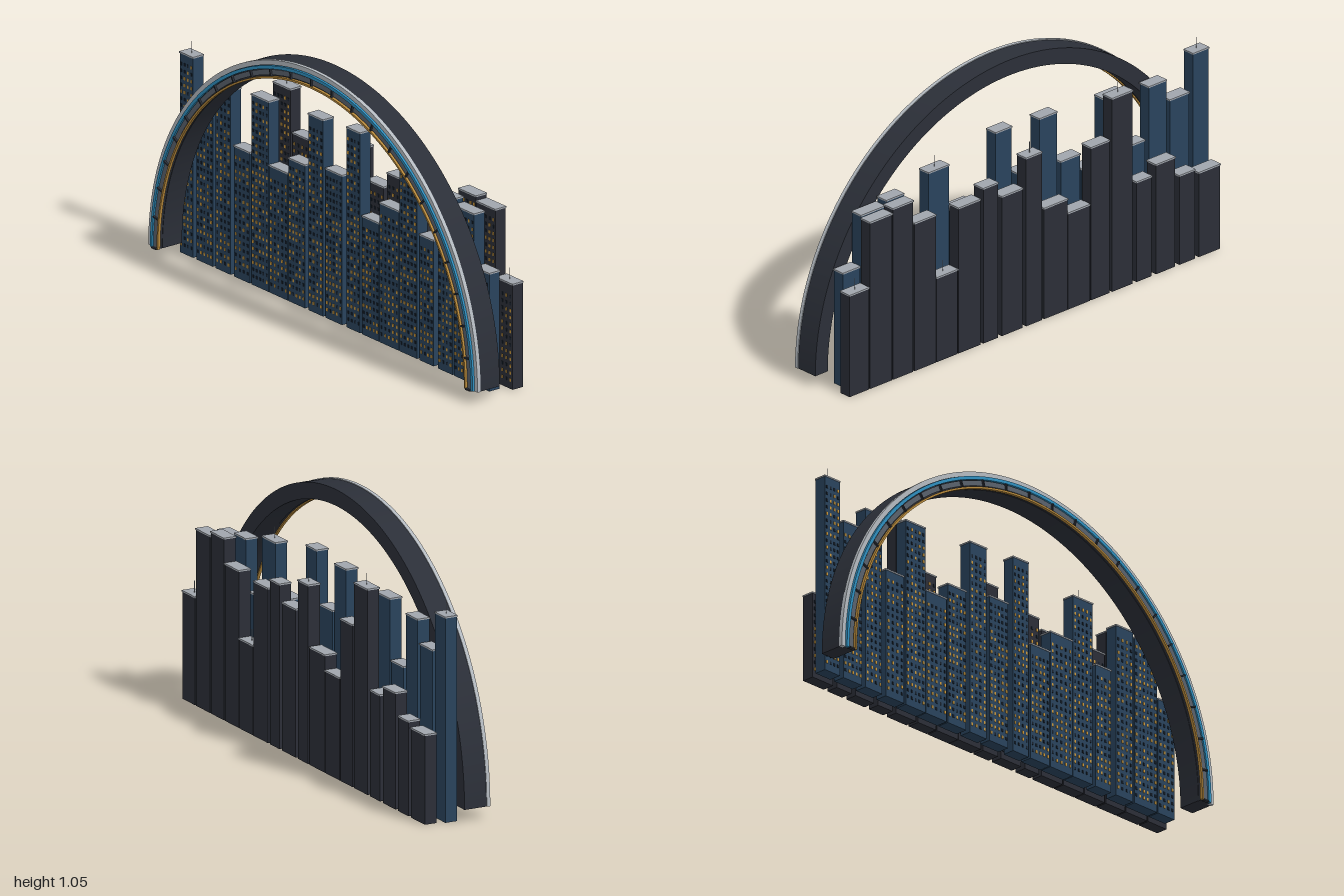
import * as THREE from 'three';
import { mergeGeometries, toCreasedNormals } from 'three/addons/utils/BufferGeometryUtils.js';

const mat = (color) => new THREE.MeshStandardMaterial({ color });
const M = {
  arch: mat(0x2b2f38), silver: mat(0xb4bac0), blue: mat(0x2f8fbf), gold: mat(0xb88a3c),
  panel: mat(0x59616c), farWall: mat(0x29435c), nearWall: mat(0x2b2e37),
  roof: mat(0xa0a5ac), lit: mat(0xc8963c), unlit: mat(0x18222e),
};

// small seeded generator for the lit windows
let seed = 7;
const rnd = () => (seed = (seed * 16807) % 2147483647) / 2147483647;

const boxGeo = (x0, x1, y0, y1, z0, z1) =>
  new THREE.BoxGeometry(x1 - x0, y1 - y0, z1 - z0)
    .translate((x0 + x1) / 2, (y0 + y1) / 2, (z0 + z1) / 2);

function add(parent, name, geo, material) {
  const mesh = new THREE.Mesh(geo, material);
  mesh.name = name;
  parent.add(mesh);
  return mesh;
}

const BASE = 0.05; // height of the arch feet

// half ring in the y-z plane between two radii, from x0 to x1
function halfRing(rIn, rOut, x0, x1) {
  const s = new THREE.Shape();
  s.absarc(0, 0, rOut, 0, Math.PI, false);
  s.absarc(0, 0, rIn, Math.PI, 0, true);
  s.closePath();
  const g = new THREE.ExtrudeGeometry(s, { depth: x1 - x0, bevelEnabled: false, curveSegments: 72 });
  return toCreasedNormals(g.rotateY(Math.PI / 2).translate(x0, BASE, 0), 0.5);
}

function makeArch() {
  const g = new THREE.Group();
  g.name = 'arch';
  add(g, 'archBody', halfRing(0.933, 0.997, -0.108, -0.014), M.arch);
  add(g, 'outerTrim', halfRing(0.982, 1.0, -0.123, -0.108), M.silver);
  add(g, 'backingBand', halfRing(0.935, 0.982, -0.121, -0.108), M.arch);
  add(g, 'blueBand', halfRing(0.967, 0.98, -0.131, -0.121), M.blue);
  add(g, 'panelBand', halfRing(0.943, 0.964, -0.127, -0.121), M.panel);
  add(g, 'goldTrim', halfRing(0.93, 0.938, -0.133, -0.121), M.gold);
  // radial dividers across the panel band
  const ticks = [];
  for (let i = 0; i <= 24; i++) {
    const t = boxGeo(-0.135, -0.121, -0.003, 0.003, 0.939, 0.967);
    ticks.push(t.rotateX(-(Math.PI * i) / 24).translate(0, BASE, 0));
  }
  add(g, 'dividers', mergeGeometries(ticks), M.arch);
  return g;
}

// one row of towers: [zStart, zEnd, height, hasAntenna]
function makeRow(name, x0, towers, wall) {
  const row = new THREE.Group();
  row.name = name;
  const x1 = x0 + 0.05, xm = (x0 + x1) / 2;
  const lit = [], unlit = [];
  for (const [z0, z1, h, antenna] of towers) {
    const tower = new THREE.Group();
    tower.name = 'tower';
    add(tower, 'walls', boxGeo(x0, x1, 0, h - 0.006, z0, z1), wall);
    add(tower, 'roof', boxGeo(x0 - 0.002, x1 + 0.002, h - 0.006, h, z0 - 0.002, z1 + 0.002), M.roof);
    if (antenna) {
      const rod = new THREE.CylinderGeometry(0.0012, 0.0012, 0.046, 6);
      add(tower, 'antenna', rod.translate(xm, h + 0.023, (z0 + z1) / 2), M.roof);
    }
    row.add(tower);

    // window grid on the -x face
    const cols = Math.round((z1 - z0) / 0.022), rows = Math.floor((h - 0.04) / 0.028);
    const step = (z1 - z0) / cols;
    for (let c = 0; c < cols; c++) {
      for (let r = 0; r < rows; r++) {
        const z = z0 + (c + 0.5) * step, y = 0.03 + r * 0.028;
        (rnd() < 0.5 ? lit : unlit).push(boxGeo(x0 - 0.002, x0, y, y + 0.012, z - 0.004, z + 0.004));
      }
    }
  }
  add(row, 'litWindows', mergeGeometries(lit), M.lit);
  add(row, 'darkWindows', mergeGeometries(unlit), M.unlit);
  return row;
}

const FAR_ROW = [
  [-0.965, -0.885, 0.81, 1], [-0.865, -0.765, 0.655], [-0.747, -0.657, 0.745], [-0.637, -0.54, 0.53],
  [-0.53, -0.425, 0.77], [-0.421, -0.31, 0.515], [-0.304, -0.205, 0.58], [-0.185, -0.095, 0.795],
  [-0.08, 0.02, 0.605], [0.048, 0.13, 0.81], [0.142, 0.244, 0.48], [0.248, 0.366, 0.565],
  [0.37, 0.475, 0.755, 1], [0.492, 0.575, 0.51], [0.602, 0.692, 0.71], [0.7, 0.822, 0.69],
  [0.828, 0.915, 0.478],
];
const NEAR_ROW = [
  [-0.95, -0.84, 0.355], [-0.82, -0.74, 0.375], [-0.718, -0.62, 0.46], [-0.597, -0.52, 0.42],
  [-0.5, -0.395, 0.81, 1], [-0.382, -0.286, 0.64], [-0.28, -0.168, 0.405], [-0.166, -0.045, 0.465],
  [-0.033, 0.047, 0.705, 1], [0.065, 0.172, 0.585], [0.193, 0.268, 0.65], [0.283, 0.395, 0.61],
  [0.4, 0.508, 0.355, 1], [0.512, 0.622, 0.62], [0.628, 0.732, 0.717], [0.737, 0.85, 0.698],
  [0.856, 0.955, 0.427, 1],
];

export function createModel() {
  const model = new THREE.Group();
  model.name = 'skylineArch';
  model.add(makeArch());
  model.add(makeRow('blueTowerRow', 0.001, FAR_ROW, M.farWall));
  model.add(makeRow('darkTowerRow', 0.081, NEAR_ROW, M.nearWall));
  return model;
}
